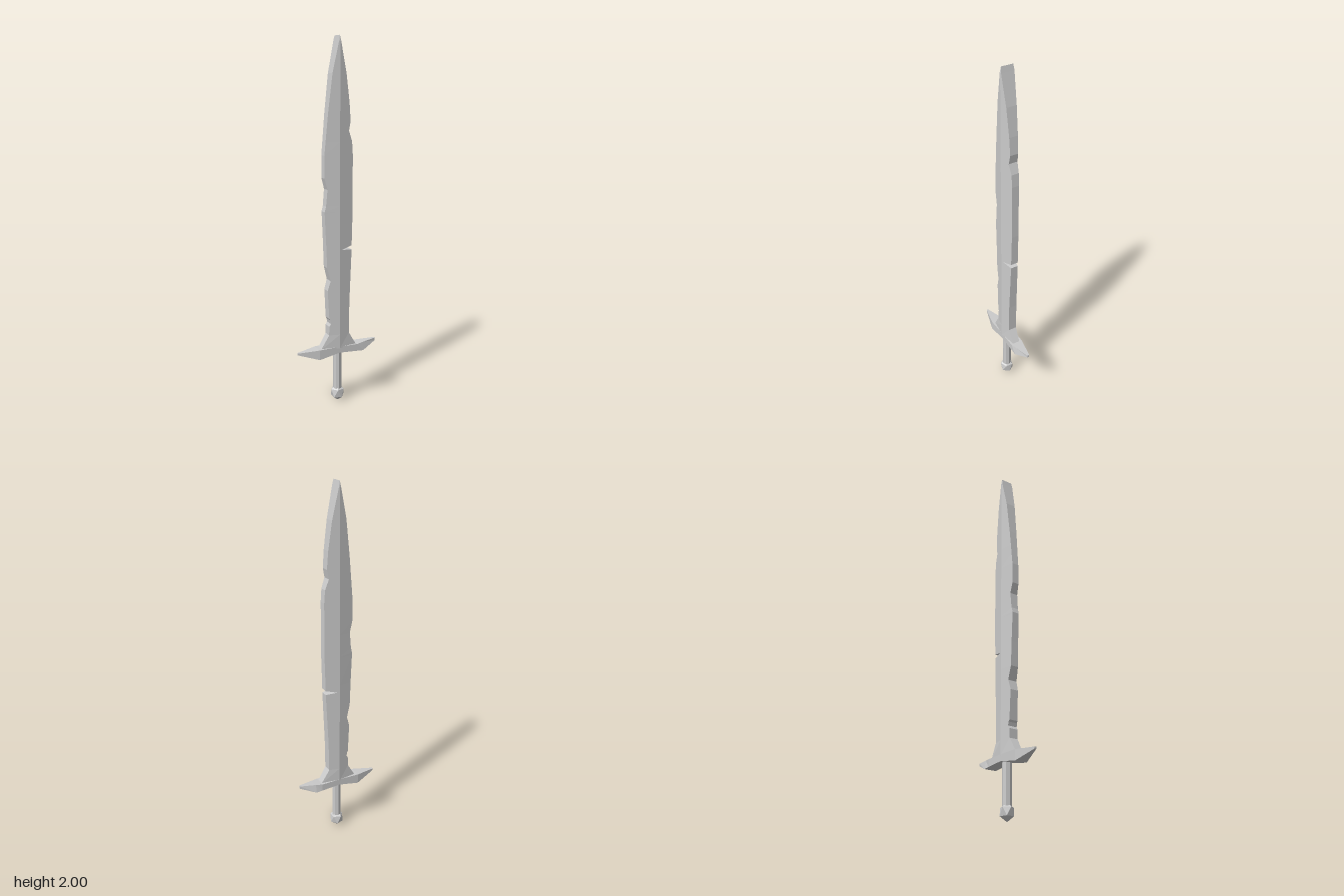
import * as THREE from 'three';

const material = new THREE.MeshStandardMaterial({ color: 0xcccccc, flatShading: true });

// Skin a stack of equal-sized rings, each counter-clockwise seen from the far end
function loft(rings) {
  const pos = [];
  const n = rings[0].length;
  const tri = (a, b, c) => pos.push(...a, ...b, ...c);
  for (let k = 0; k < rings.length - 1; k++) {
    const a = rings[k], b = rings[k + 1];
    for (let i = 0; i < n; i++) {
      const j = (i + 1) % n;
      tri(a[i], a[j], b[j]);
      tri(a[i], b[j], b[i]);
    }
  }
  const first = rings[0], last = rings[rings.length - 1];
  for (let i = 1; i < n - 1; i++) {
    tri(first[0], first[i + 1], first[i]);
    tri(last[0], last[i], last[i + 1]);
  }
  const g = new THREE.BufferGeometry();
  g.setAttribute('position', new THREE.Float32BufferAttribute(pos, 3));
  g.computeVertexNormals();
  return g;
}

// Half width of an outline of [y, width] points at height y
function widthAt(outline, y) {
  for (let i = 0; i < outline.length - 1; i++) {
    const [y0, w0] = outline[i], [y1, w1] = outline[i + 1];
    if (y <= y1) return w0 + (w1 - w0) * (y - y0) / (y1 - y0);
  }
  return outline[outline.length - 1][1];
}

// Blade edges from guard to tip, with chips and the deep cut
const leftEdge = [ // +x side
  [0.32, 0.108], [0.4, 0.06], [0.575, 0.063], [0.873, 0.077], [0.879, 0.012], [0.896, 0.077],
  [1.08, 0.082], [1.39, 0.082], [1.46, 0.077], [1.515, 0.057], [1.565, 0.067], [1.66, 0.06],
  [1.81, 0.04], [1.97, 0.006], [2, 0],
];
const rightEdge = [ // -x side
  [0.32, 0.108], [0.4, 0.06], [0.45, 0.059], [0.465, 0.05], [0.485, 0.053], [0.495, 0.059],
  [0.655, 0.067], [0.71, 0.051], [0.785, 0.07], [0.92, 0.075], [1.09, 0.083], [1.12, 0.075],
  [1.21, 0.067], [1.27, 0.083], [1.39, 0.083], [1.61, 0.063], [1.81, 0.04], [1.97, 0.006], [2, 0],
];

function bladeGeometry() {
  const ys = [...new Set([...leftEdge, ...rightEdge].map(p => p[0]))].sort((a, b) => a - b);
  return loft(ys.map(y => {
    const l = widthAt(leftEdge, y), r = widthAt(rightEdge, y);
    const ridge = y === 2 ? 0.033 : 0.037;
    // the faces slope down from the central ridge to blunt edges
    const el = Math.max(0.02, ridge - 0.21 * l), er = Math.max(0.02, ridge - 0.21 * r);
    return [[l, y, el], [l, y, -el], [0, y, -ridge], [-r, y, -er], [-r, y, er], [0, y, ridge]];
  }));
}

// Guard sections: x, bottom y, top y, half depth at top, half depth at bottom
const guardSections = [
  [-0.238, 0.307, 0.317, 0.005, 0.005],
  [-0.12, 0.27, 0.326, 0.035, 0.035],
  [0, 0.293, 0.328, 0.035, 0.035],
  [0.11, 0.286, 0.326, 0.035, 0.035],
  [0.146, 0.283, 0.329, 0.026, 0.035],
  [0.235, 0.319, 0.334, 0.006, 0.006],
];

export function createModel() {
  const model = new THREE.Group();
  const add = (name, geometry, y = 0, z = 0) => {
    const mesh = new THREE.Mesh(geometry, material);
    mesh.name = name;
    mesh.position.set(0, y, z);
    model.add(mesh);
    return mesh;
  };

  add('blade', bladeGeometry(), 0, -0.002);

  add('guard', loft(guardSections.map(([x, yb, yt, ht, hb]) =>
    [[x, yb, -hb], [x, yt, -ht], [x, yt, ht], [x, yb, hb]])), 0, -0.003);

  add('grip', new THREE.CylinderGeometry(0.025, 0.025, 0.25, 8), 0.185);

  // Faceted pommel standing on one corner
  const pommel = new THREE.IcosahedronGeometry(0.041, 0);
  pommel.rotateZ(Math.atan(2 / (1 + Math.sqrt(5))));
  pommel.scale(1, 1.17, 1);
  add('pommel', pommel, 0.048);

  return model;
}
